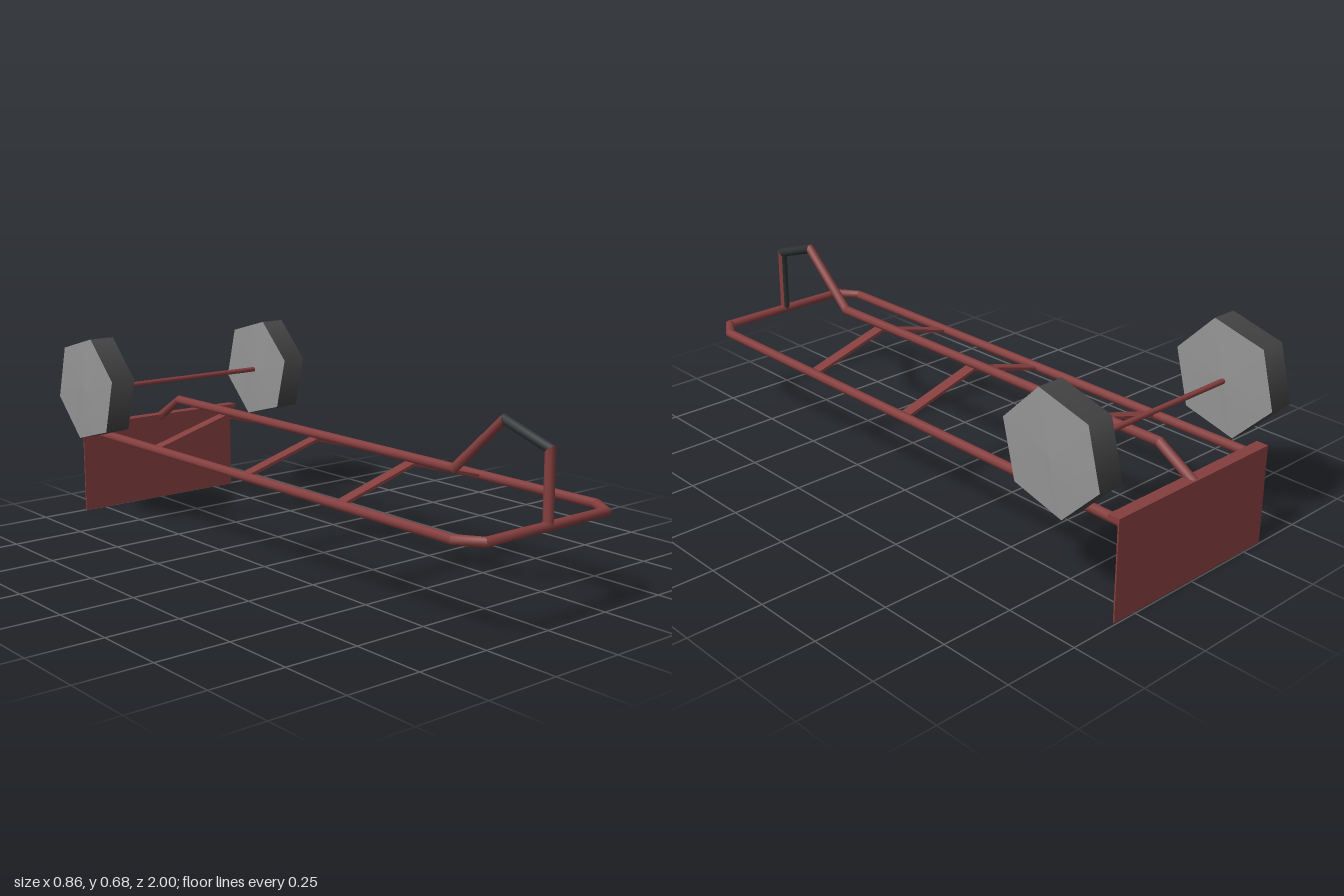
import * as THREE from 'three';

const red = new THREE.MeshStandardMaterial({ color: 0x853e3e, name: 'red paint', side: THREE.DoubleSide });
const black = new THREE.MeshStandardMaterial({ color: 0x2e3232, name: 'black grip', side: THREE.DoubleSide });
const rubber = new THREE.MeshStandardMaterial({ color: 0x444444, name: 'dark rubber' });
const grey = new THREE.MeshStandardMaterial({ color: 0x949494, name: 'wheel grey' });

const V = (x, y, z) => new THREE.Vector3(x, y, z);
const SIDES = 8;

function add(parent, name, geometry, material, x = 0, y = 0, z = 0) {
  const mesh = new THREE.Mesh(geometry, material);
  mesh.name = name;
  mesh.position.set(x, y, z);
  parent.add(mesh);
  return mesh;
}

// Mitred tube along a planar path with plane normal n; one geometry per segment.
function pipe(points, n, r) {
  const dirs = points.slice(1).map((p, i) => p.clone().sub(points[i]).normalize());
  const rings = points.map((p, i) => {
    const a = dirs[Math.max(i - 1, 0)];
    const b = dirs[Math.min(i, dirs.length - 1)];
    const mid = a.clone().add(b).normalize();
    const u = n.clone().cross(mid).multiplyScalar(1 / mid.dot(a));
    return Array.from({ length: SIDES }, (_, j) => {
      const t = (j / SIDES) * Math.PI * 2;
      return p.clone().addScaledVector(u, r * Math.cos(t)).addScaledVector(n, r * Math.sin(t));
    });
  });
  return dirs.map((_, i) => {
    const geometry = new THREE.BufferGeometry().setFromPoints([...rings[i], ...rings[i + 1]]);
    const index = [];
    for (let j = 0; j < SIDES; j++) {
      const k = (j + 1) % SIDES;
      index.push(j, k, SIDES + j, SIDES + j, k, SIDES + k);
    }
    geometry.setIndex(index);
    geometry.computeVertexNormals();
    return geometry;
  });
}

// Six-sided wheel with shallow domed faces
function makeWheel(x) {
  const wheel = new THREE.Group();
  wheel.name = 'wheel';
  const r = 0.19, w = 0.09;
  add(wheel, 'tread', new THREE.CylinderGeometry(r, r, w, 6, 1, true), rubber);
  for (const s of [1, -1]) {
    const face = add(wheel, 'wheelFace', new THREE.ConeGeometry(r, 0.007, 6, 1, true), grey, 0, s * (w / 2 + 0.0035), 0);
    if (s < 0) face.rotation.x = Math.PI;
  }
  // a half turn about x maps a hexagon at 45 degrees onto itself
  wheel.rotation.set(Math.PI / 4, 0, Math.PI / 2, 'XYZ');
  wheel.position.set(x, 0.493, -0.817);
  return wheel;
}

export function createModel() {
  const model = new THREE.Group();
  model.name = 'cart';

  // Perimeter rail, open at the rear
  const rail = [[-0.3, -0.98], [-0.3, 0.91], [-0.25, 0.985], [0.25, 0.985], [0.3, 0.91], [0.3, -0.98]];
  pipe(rail.map(([x, z]) => V(x, 0.303, z)), V(0, 1, 0), 0.016)
    .forEach((g) => add(model, 'frameRail', g, red));

  // Front post, handle and raised spine
  const spine = [[0.3, 0.985], [0.525, 0.985], [0.582, 0.81], [0.402, 0.61], [0.402, -0.85], [0.32, -0.985]];
  const names = ['frontPost', 'handle', 'spineRise', 'spine', 'spineTail'];
  pipe(spine.map(([y, z]) => V(0, y, z)), V(1, 0, 0), 0.016).forEach((g, i) => {
    if (i === 0) {
      // the rear side of the post is black
      g.addGroup(0, 18, 0);
      g.addGroup(18, 12, 1);
      g.addGroup(30, 18, 0);
    }
    add(model, names[i], g, i === 0 ? [red, black] : i === 1 ? black : red);
  });

  // Sloping flat braces from the spine down to the rails
  const drop = 0.083, reach = 0.295;
  for (const z of [0.42, -0.05, -0.57]) {
    for (const s of [1, -1]) {
      const brace = add(model, 'crossBrace', new THREE.BoxGeometry(Math.hypot(drop, reach), 0.01, 0.04), red,
        s * reach / 2, 0.383 - drop / 2, z);
      brace.rotation.z = -s * Math.atan2(drop, reach);
    }
  }

  // Rear beam and hanging flap
  add(model, 'rearBeam', new THREE.BoxGeometry(0.666, 0.014, 0.042), red, 0, 0.325, -0.975);
  add(model, 'rearFlap', new THREE.BoxGeometry(0.666, 0.325, 0.005), red, 0, 0.1625, -0.993);

  // Axle and wheels
  const axle = add(model, 'axle', new THREE.CylinderGeometry(0.009, 0.009, 0.66, SIDES), red, 0, 0.488, -0.82);
  axle.rotation.z = Math.PI / 2;
  model.add(makeWheel(0.378), makeWheel(-0.375));

  return model;
}
